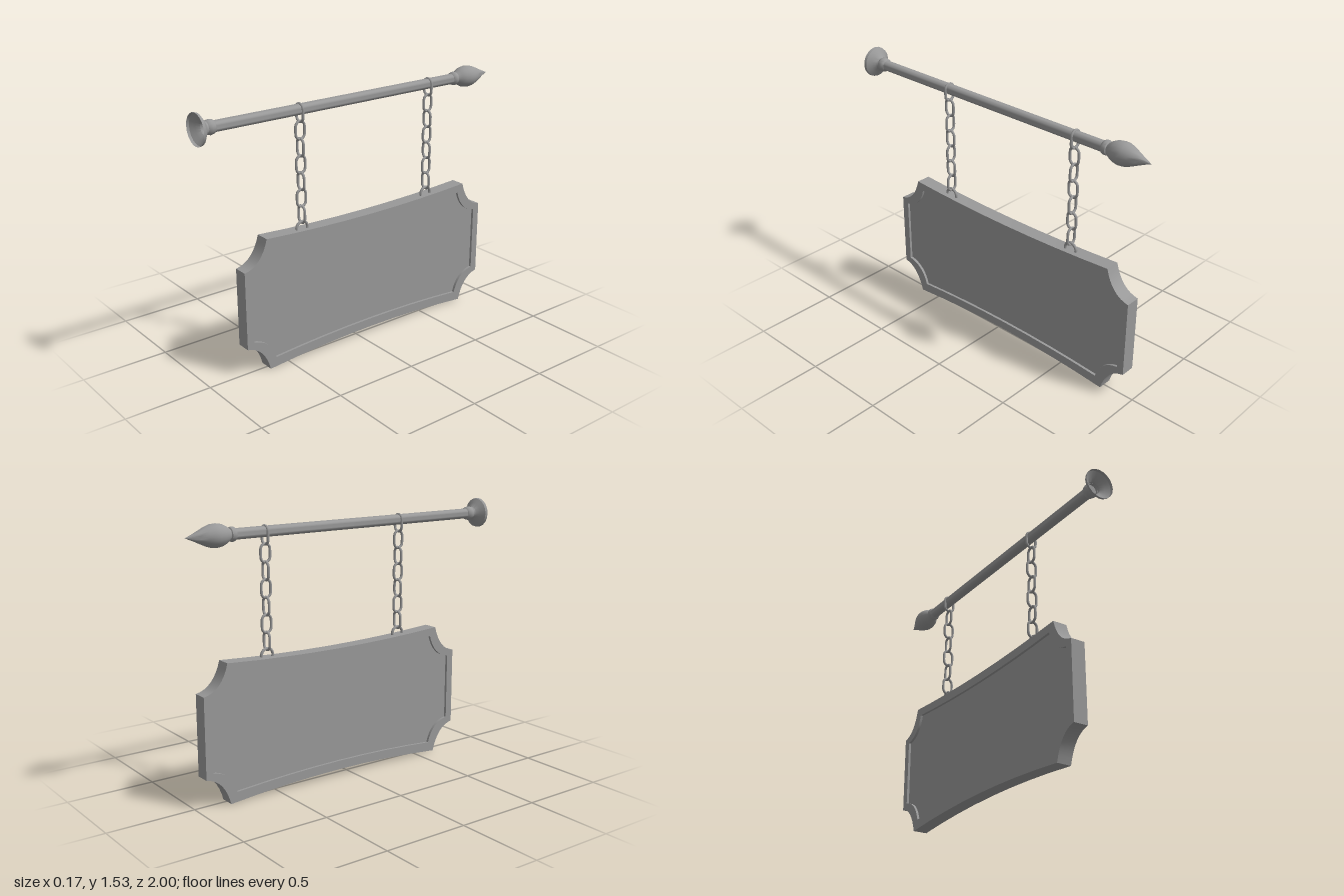
import * as THREE from 'three';
import { toCreasedNormals } from 'three/addons/utils/BufferGeometryUtils.js';

const AXIS_Y = 1.44;
const BOARD_Z = -0.0875;

// Plaque outline: scooped corners, gently bowed top and bottom edges
function outline(path, o) {
  path.moveTo(o.side, o.sideLow);
  path.lineTo(o.side, o.sideHigh);
  path.quadraticCurveTo(o.scoopX, o.scoopHigh, o.corner, o.top);
  path.quadraticCurveTo(0, 2 * o.midTop - o.top, -o.corner, o.top);
  path.quadraticCurveTo(-o.scoopX, o.scoopHigh, -o.side, o.sideHigh);
  path.lineTo(-o.side, o.sideLow);
  path.quadraticCurveTo(-o.scoopX, o.scoopLow, -o.corner, o.bottom);
  path.quadraticCurveTo(0, 2 * o.midBottom - o.bottom, o.corner, o.bottom);
  path.quadraticCurveTo(o.scoopX, o.scoopLow, o.side, o.sideLow);
  return path;
}

const OUTER = {
  side: 0.8625, sideLow: 0.165, sideHigh: 0.62, corner: 0.7175, top: 0.78, bottom: 0,
  midTop: 0.755, midBottom: 0.037, scoopX: 0.755, scoopHigh: 0.636, scoopLow: 0.149,
};
const INNER = {
  side: 0.82, sideLow: 0.197, sideHigh: 0.59, corner: 0.6775, top: 0.73, bottom: 0.06,
  midTop: 0.705, midBottom: 0.088, scoopX: 0.71, scoopHigh: 0.605, scoopLow: 0.182,
};

// Closed oval path of a chain link: two half circles joined by straight sides
class LinkCurve extends THREE.Curve {
  constructor(radius, straight) {
    super();
    this.radius = radius;
    this.straight = straight;
  }
  getPoint(t, target = new THREE.Vector3()) {
    const a = t * Math.PI * 2;
    const s = Math.sin(a);
    const lift = THREE.MathUtils.clamp(s * 4, -1, 1) * this.straight;
    return target.set(Math.cos(a) * this.radius, s * this.radius + lift, 0);
  }
}

export function createModel() {
  const group = new THREE.Group();
  const metal = new THREE.MeshStandardMaterial({ color: 0x999999, side: THREE.DoubleSide });
  metal.name = 'grey metal';

  const add = (name, geometry, parent = group) => {
    const mesh = new THREE.Mesh(geometry, metal);
    mesh.name = name;
    parent.add(mesh);
    return mesh;
  };

  // Sign board: raised frame around a panel recessed on both faces
  const board = new THREE.Group();
  board.name = 'signBoard';
  board.rotation.y = Math.PI / 2;
  board.position.z = BOARD_Z;
  group.add(board);
  const slab = (shape, from, to) => {
    const g = new THREE.ExtrudeGeometry(shape, { depth: to - from, bevelEnabled: false, curveSegments: 8 });
    g.translate(0, 0, from);
    return toCreasedNormals(g, 0.4);
  };
  const frame = outline(new THREE.Shape(), OUTER);
  frame.holes.push(outline(new THREE.Path(), INNER));
  add('boardFrame', slab(frame, -0.05, 0.035), board);
  add('boardPanel', slab(outline(new THREE.Shape(), INNER), -0.035, 0.02), board);

  // Turned parts: profiles of [radius, z] spun around the pole axis
  const turned = (name, profile, crease = 0.7) => {
    const pts = profile.map(([r, z]) => new THREE.Vector2(r, z));
    const mesh = add(name, toCreasedNormals(new THREE.LatheGeometry(pts, 20), crease));
    mesh.rotation.x = Math.PI / 2;
    mesh.position.y = AXIS_Y;
  };
  turned('pole', [[0, -0.76], [0.03, -0.76], [0.03, 0.93], [0, 0.93]]);
  turned('finial', [
    [0, -1], [0.014, -0.965], [0.032, -0.925], [0.05, -0.885], [0.061, -0.85],
    [0.063, -0.825], [0.057, -0.79], [0.045, -0.765], [0.033, -0.75], [0.03, -0.742],
  ]);
  turned('finialCollar', [[0.03, -0.747], [0.037, -0.742], [0.04, -0.73], [0.037, -0.718], [0.03, -0.71]]);
  turned('mountCollar', [[0.03, 0.895], [0.037, 0.902], [0.041, 0.92], [0.037, 0.938], [0.03, 0.945]]);
  // Open flared wall mount
  turned('wallMount', [[0.033, 0.935], [0.037, 0.95], [0.06, 0.967], [0.085, 0.985], [0.0875, 1]]);

  // Two chains: links alternate direction from the pole down to a board loop
  const link = new THREE.TubeGeometry(new LinkCurve(0.029, 0.02), 32, 0.0075, 8, true);
  const loop = new THREE.TorusGeometry(0.036, 0.008, 8, 24);
  for (const z of [0.375, -0.53]) {
    const chain = new THREE.Group();
    chain.name = 'chain';
    chain.position.z = z;
    group.add(chain);
    for (let i = 0; i < 7; i++) {
      const mesh = add(i === 0 ? 'poleLink' : 'chainLink', link, chain);
      mesh.position.y = 1.421 - i * 0.095;
      mesh.rotation.y = i % 2 ? Math.PI / 2 : 0;
      if (i === 0) mesh.scale.x = 1.05;
    }
    const ring = add('boardLoop', loop, chain);
    ring.position.y = 0.774;
    ring.rotation.y = Math.PI / 2;
  }

  return group;
}
